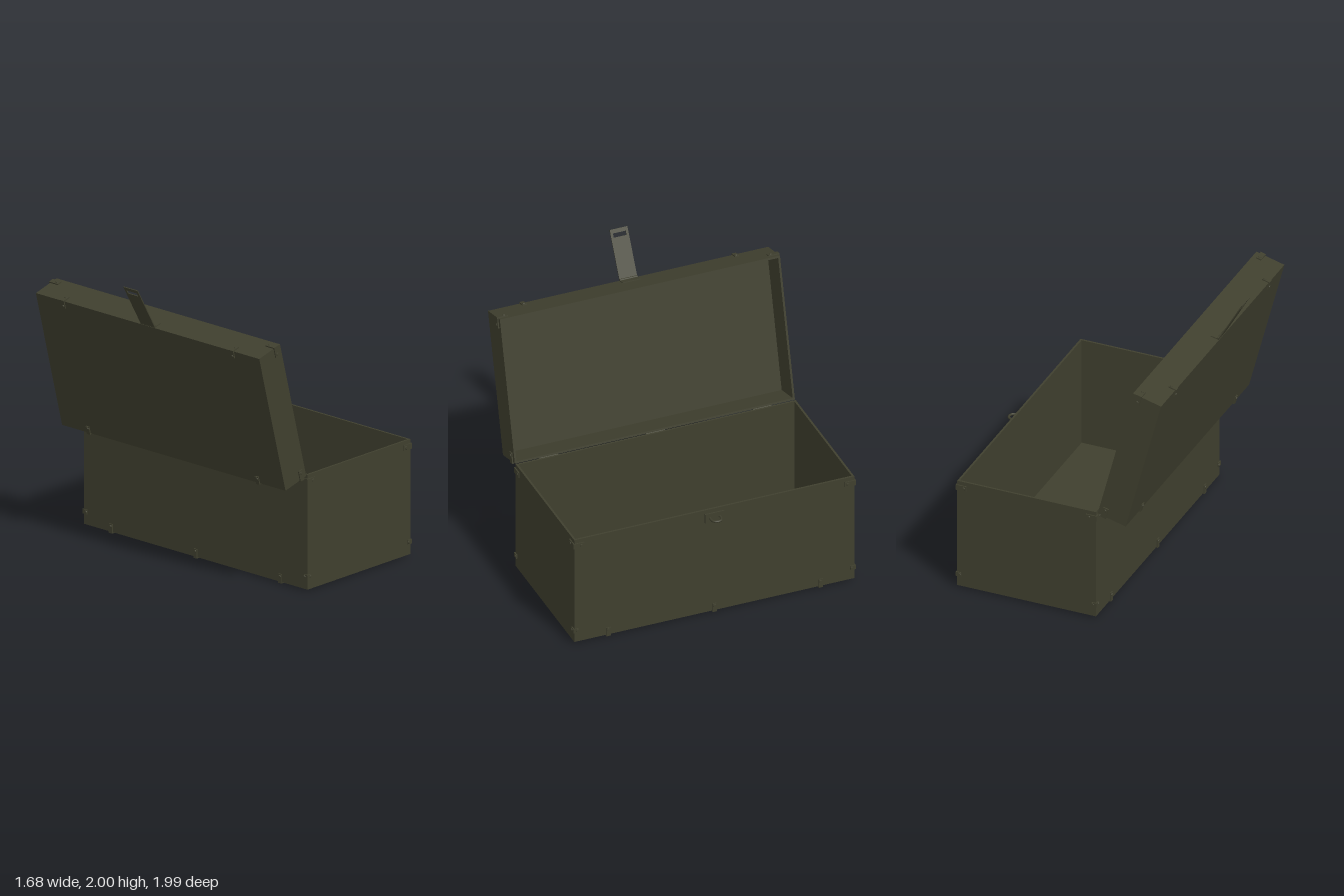
import * as THREE from 'three';

const olive = new THREE.MeshStandardMaterial({ color: 0x3f3f2e });
olive.name = 'olive paint';

const WALL = 0.014, HALF = 0.983;
const V = (x, y, z) => new THREE.Vector3(x, y, z);

function add(parent, name, geometry, x = 0, y = 0, z = 0) {
  const mesh = new THREE.Mesh(geometry, olive);
  mesh.name = name;
  mesh.position.set(x, y, z);
  parent.add(mesh);
  return mesh;
}

// Four walls and one panel; the panel is at the bottom or at the top
function openBox(parent, name, x0, x1, y0, y1, panelOnTop) {
  const cx = (x0 + x1) / 2, cy = (y0 + y1) / 2, w = x1 - x0, h = y1 - y0;
  for (const x of [x0 + WALL / 2, x1 - WALL / 2])
    add(parent, name + 'LongWall', new THREE.BoxGeometry(WALL, h, HALF * 2), x, cy, 0);
  for (const s of [-1, 1])
    add(parent, name + 'EndWall', new THREE.BoxGeometry(w - 2 * WALL, h, WALL), cx, cy, s * (HALF - WALL / 2));
  add(parent, name + 'Panel', new THREE.BoxGeometry(w - 2 * WALL, WALL, 2 * (HALF - WALL)),
    cx, panelOnTop ? y1 - WALL / 2 : y0 + WALL / 2, 0);
}

// L-shaped clip folded round the edge at p, with riveted arms running along u and v
function clip(parent, p, u, v, length, width = 0.038) {
  const t = 0.008, group = new THREE.Group();
  group.name = 'edgeClip';
  group.position.copy(p);
  const across = u.clone().cross(v);
  for (const [a, b] of [[u, v], [v, u]]) {
    const size = (k) => Math.abs(a[k]) * (length + t) + Math.abs(b[k]) * t + Math.abs(across[k]) * width;
    const c = a.clone().multiplyScalar((length - t) / 2).addScaledVector(b, -t / 2);
    add(group, 'clipArm', new THREE.BoxGeometry(size('x'), size('y'), size('z')), c.x, c.y, c.z);
    const r = a.clone().multiplyScalar(length * 0.7).addScaledVector(b, -t - 0.002);
    add(group, 'rivet', new THREE.CylinderGeometry(0.009, 0.011, 0.005, 10), r.x, r.y, r.z)
      .quaternion.setFromUnitVectors(V(0, 1, 0), b.clone().negate());
  }
  parent.add(group);
}

export function createModel() {
  const model = new THREE.Group();
  model.name = 'openChest';

  // Chest body
  const body = new THREE.Group();
  body.name = 'body';
  model.add(body);
  const x0 = -0.218, x1 = 0.765, y0 = 0.013, y1 = 0.798;
  openBox(body, 'body', x0, x1, y0, y1, false);
  for (const [x, sx] of [[x0, 1], [x1, -1]]) {
    for (const s of [-1, 1]) {
      clip(body, V(x, 0.752, s * HALF), V(sx, 0, 0), V(0, 0, -s), 0.068);
      clip(body, V(x, 0.1, s * HALF), V(sx, 0, 0), V(0, 0, -s), 0.03, 0.03);
    }
    for (const z of [-0.745, 0, 0.745])
      clip(body, V(x, y0, z), V(sx, 0, 0), V(0, 1, 0), 0.055, 0.03);
  }

  // Staple and its plate
  add(body, 'staplePlate', new THREE.BoxGeometry(0.01, 0.066, 0.135), x1 + 0.005, 0.737, 0);
  const bend = [V(0.76, 0, 0.034), V(0.8, 0, 0.034), V(0.824, 0, 0.024), V(0.832, 0, 0),
    V(0.824, 0, -0.024), V(0.8, 0, -0.034), V(0.76, 0, -0.034)];
  add(body, 'staple', new THREE.TubeGeometry(new THREE.CatmullRomCurve3(bend), 28, 0.008, 8), 0, 0.737, 0);

  // Lid, turned back about the hinge line
  const lid = new THREE.Group();
  lid.name = 'lid';
  lid.position.set(-0.23, 0.793, 0);
  lid.rotation.z = THREE.MathUtils.degToRad(104.6);
  model.add(lid);
  const long = 0.995, deep = 0.205;
  openBox(lid, 'lid', 0, long, 0, deep, true);
  for (const [x, sx] of [[0, 1], [long, -1]]) {
    for (const s of [-1, 1])
      clip(lid, V(x, 0.045, s * HALF), V(sx, 0, 0), V(0, 0, -s), 0.068);
    for (const z of [-0.745, 0.745])
      clip(lid, V(x, deep, z), V(sx, 0, 0), V(0, -1, 0), 0.05, 0.03);
  }

  // Hinges across the gap
  for (const z of [-0.75, 0, 0.75]) {
    const barrel = add(model, 'hingeBarrel', new THREE.CylinderGeometry(0.007, 0.007, 0.13, 10), -0.224, 0.793, z);
    barrel.rotation.x = Math.PI / 2;
    add(model, 'hingeLeaf', new THREE.BoxGeometry(0.006, 0.05, 0.13), x0 - 0.003, 0.768, z);
  }

  // Slotted hasp on the front edge of the lid
  const outline = new THREE.Shape();
  outline.moveTo(0, -0.062).lineTo(0.33, -0.062).lineTo(0.33, 0.062).lineTo(0, 0.062).closePath();
  const slot = new THREE.Path();
  slot.moveTo(0.275, -0.045).lineTo(0.275, 0.045).lineTo(0.303, 0.045).lineTo(0.303, -0.045).closePath();
  outline.holes.push(slot);
  const strap = new THREE.ExtrudeGeometry(outline, { depth: 0.006, bevelEnabled: false });
  strap.translate(0, 0, -0.003).rotateX(Math.PI / 2);
  add(model, 'hasp', strap, -0.677, 1.713, 0).rotation.z = THREE.MathUtils.degToRad(119.8);
  const knuckle = add(lid, 'haspKnuckle', new THREE.CylinderGeometry(0.009, 0.009, 0.124, 10), long + 0.005, deep - 0.01, 0);
  knuckle.rotation.x = Math.PI / 2;
  add(lid, 'haspLeaf', new THREE.BoxGeometry(0.006, 0.05, 0.124), long + 0.003, deep - 0.035, 0);

  return model;
}
